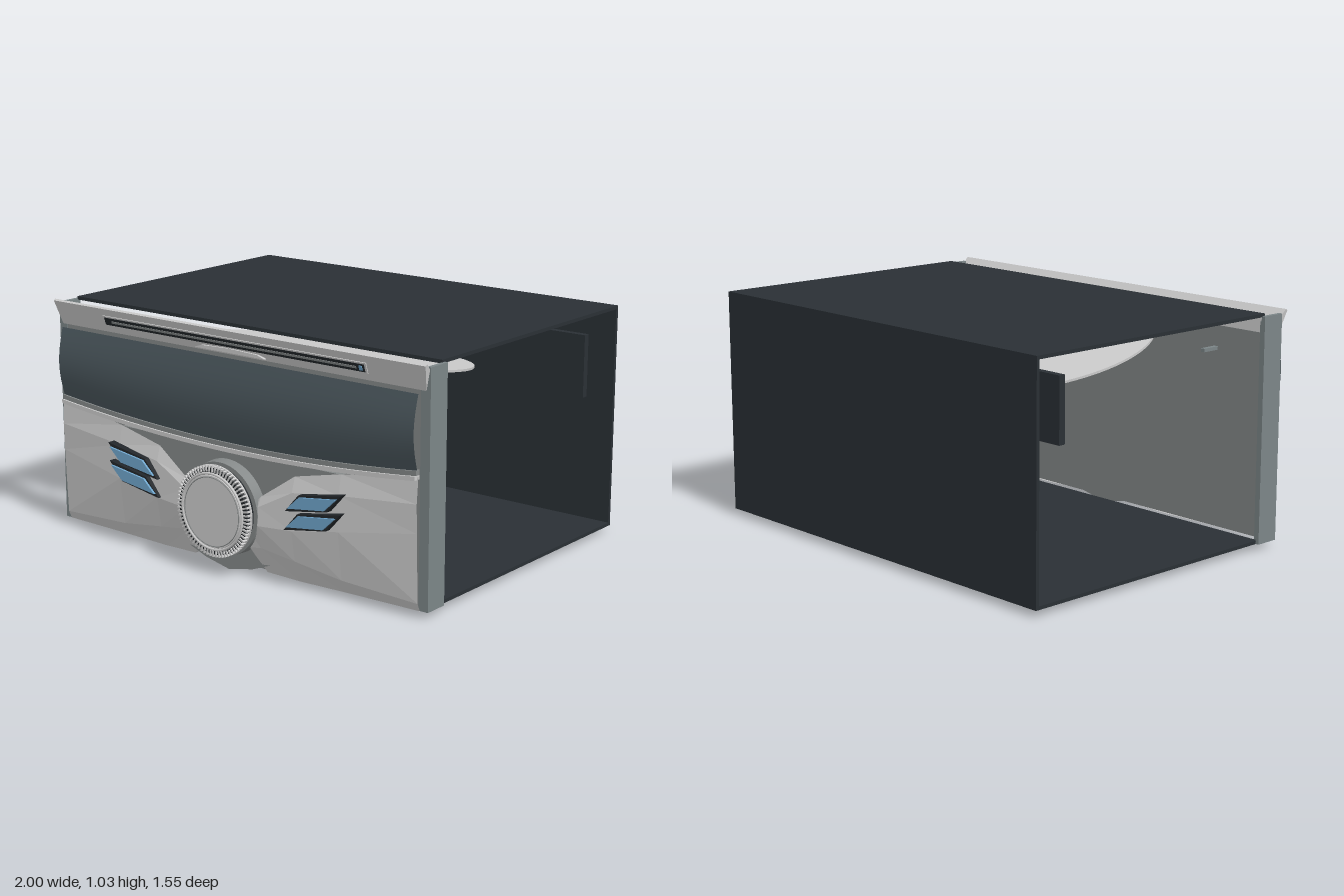
import * as THREE from 'three';

const mat = (color, flat = false) => new THREE.MeshStandardMaterial({ color, flatShading: flat, side: THREE.DoubleSide });
const light = mat(0xcccccc), facet = mat(0xcccccc, true), mid = mat(0x858989), side = mat(0x7c8688);
const dark = mat(0x2a3035), black = mat(0x22262a), glass = mat(0x4a565c), blue = mat(0x6fa5cc);

export function createModel() {
  const root = new THREE.Group();

  const add = (name, geo, material, parent = root) => {
    const m = new THREE.Mesh(geo, material);
    m.name = name;
    parent.add(m);
    return m;
  };
  // box given by its min and max corners
  const box = (name, x0, x1, y0, y1, z0, z1, material, parent = root) => {
    const m = add(name, new THREE.BoxGeometry(x1 - x0, y1 - y0, z1 - z0), material, parent);
    m.position.set((x0 + x1) / 2, (y0 + y1) / 2, (z0 + z1) / 2);
    return m;
  };
  // outline in x,y extruded from z0 to z1
  const plate = (name, pts, z0, z1, material, parent = root) => {
    const s = new THREE.Shape(pts.map(p => new THREE.Vector2(p[0], p[1])));
    const m = add(name, new THREE.ExtrudeGeometry(s, { depth: z1 - z0, bevelEnabled: false }), material, parent);
    m.position.z = z0;
    return m;
  };
  // cylinder along z
  const drum = (name, r0, r1, z0, z1, material, parent) => {
    const g = new THREE.CylinderGeometry(r1, r0, z1 - z0, 64).rotateX(Math.PI / 2);
    const m = add(name, g, material, parent);
    m.position.z = (z0 + z1) / 2;
    return m;
  };
  const arc = x => 0.55 + 0.055 * (x / 0.96) ** 2;   // lower edge of the screen

  // Casing, open at both sides
  box('casingBottom', -0.985, 0.985, 0.035, 0.05, -0.77, 0.53, dark);
  box('casingTop', -0.985, 0.985, 1.015, 1.03, -0.77, 0.535, dark);
  box('casingBack', -0.985, 0.985, 0.035, 1.03, -0.775, -0.76, dark);
  box('innerRearPlate', -0.94, 0.94, 0.65, 0.925, -0.612, -0.582, dark);

  // Tilted disc sliding into the slot
  const disc = add('disc', new THREE.CylinderGeometry(0.64, 0.64, 0.01, 96), light);
  disc.position.set(0, 0.832, 0);
  disc.rotation.x = -0.173;

  // Side frame, inner rails and rear tabs
  for (const s of [-1, 1]) {
    const g = new THREE.Group();
    g.name = s > 0 ? 'leftFrame' : 'rightFrame';
    root.add(g);
    const span = (name, a, b, ...rest) => box(name, Math.min(s * a, s * b), Math.max(s * a, s * b), ...rest, side, g);
    span('sideBar', 0.982, 1, 0.035, 1.02, 0.52, 0.63);
    span('innerRail', 0.95, 0.984, 0.035, 0.99, 0.55, 0.59);
    span('frontRail', 0.955, 0.984, 0.035, 0.93, 0.6, 0.63);
    span('rearTab', 0.73, 0.75, 0.845, 0.86, 0.43, 0.515);
  }

  // Plate behind the face, with a pointed chin
  plate('backingPlate', [[-0.96, 0.035], [-0.13, 0.035], [0, 0.007], [0.13, 0.035], [0.96, 0.035], [0.96, 0.93], [-0.96, 0.93]], 0.602, 0.628, mid);

  // Top trim, slanted forward, with bevelled ends
  const prof = [[0.665, 1.03], [0.655, 1.036], [0.61, 0.99], [0.605, 0.93], [0.63, 0.925]];
  const trimGeo = new THREE.ExtrudeGeometry(new THREE.Shape(prof.map(p => new THREE.Vector2(-p[0], p[1]))), { depth: 2, bevelEnabled: false });
  trimGeo.translate(0, 0, -1).rotateY(Math.PI / 2);
  const tp = trimGeo.attributes.position;
  for (let i = 0; i < tp.count; i++) tp.setX(i, tp.getX(i) * (1 - 0.18 * (1.036 - tp.getY(i))));
  trimGeo.computeVertexNormals();
  add('topTrim', trimGeo, facet);

  // Disc slot on the trim
  const slot = new THREE.Group();
  slot.name = 'discSlot';
  slot.position.set(0, 0.977, 0.647);
  slot.rotation.x = 0.33;
  root.add(slot);
  box('slotFrame', -0.71, 0.71, -0.024, 0.024, -0.01, 0.004, light, slot);
  box('slotOpening', -0.7, 0.7, -0.017, 0.017, -0.01, 0.006, black, slot);
  box('slotGroove', -0.66, 0.66, -0.005, 0.005, -0.01, 0.008, mid, slot);
  box('slotLamp', 0.675, 0.69, -0.01, 0.01, -0.01, 0.009, blue, slot);
  plate('trimLip', [[-0.19, 0.935], [0.19, 0.935], [0.15, 0.948], [0, 0.953], [-0.15, 0.948]], 0.63, 0.648, light);

  // Bulging screen with curved lower edge
  const scr = new THREE.PlaneGeometry(1, 1, 32, 12);
  const sp = scr.attributes.position;
  for (let i = 0; i < sp.count; i++) {
    const x = sp.getX(i) * 1.92, v = sp.getY(i) + 0.5;
    sp.setXYZ(i, x, arc(x) + v * (0.915 - arc(x)), 0.655 + 0.028 * Math.sin(Math.PI * v));
  }
  scr.computeVertexNormals();
  add('screen', scr, glass);

  // Curved strips below the screen
  const band = (name, top, bottom, z0, z1, material) => {
    const xs = Array.from({ length: 25 }, (_, i) => -0.96 + i * 0.08);
    plate(name, [...xs.map(x => [x, arc(x) - bottom]), ...xs.reverse().map(x => [x, arc(x) - top])], z0, z1, material);
  };
  band('screenLedge', -0.008, 0.012, 0.64, 0.665, mid);
  band('screenRidge', 0.012, 0.03, 0.64, 0.673, light);

  // Dark centre piece behind the knob
  plate('centrePlate', [[0, 0.007], [0.13, 0.035], [0.3, 0.1], [0.3, 0.42], [0.6, 0.53], [0.3, 0.528], [0, 0.525],
    [-0.3, 0.528], [-0.6, 0.53], [-0.3, 0.42], [-0.3, 0.1], [-0.13, 0.035]], 0.605, 0.662, mid);

  // Faceted wings: cross-sections of [y, z] from ridge to bottom edge
  const stations = [
    [0.965, [[0.588, 0.655], [0.48, 0.664], [0.36, 0.661], [0.07, 0.65], [0.036, 0.635], [0.036, 0.605]]],
    [0.6, [[0.535, 0.669], [0.45, 0.686], [0.3, 0.69], [0.09, 0.665], [0.033, 0.64], [0.033, 0.605]]],
    [0.37, [[0.485, 0.677], [0.42, 0.697], [0.26, 0.702], [0.125, 0.68], [0.03, 0.645], [0.03, 0.605]]],
    [0.2, [[0.37, 0.69], [0.33, 0.707], [0.25, 0.712], [0.15, 0.69], [0.035, 0.65], [0.035, 0.605]]],
    [0.14, [[0.31, 0.69], [0.29, 0.705], [0.22, 0.705], [0.14, 0.69], [0.1, 0.66], [0.1, 0.605]]],
  ];
  const wing = s => {
    const pos = [], idx = [], n = stations[0][1].length;
    for (const [x, row] of stations) for (const [y, z] of row) pos.push(s * x, y, z);
    for (let i = 0; i < stations.length - 1; i++) for (let j = 0; j < n - 1; j++) {
      const a = i * n + j, b = a + 1, c = a + n, d = c + 1;
      idx.push(...(s > 0 ? [a, c, b, b, c, d] : [a, b, c, b, d, c]));
    }
    const g = new THREE.BufferGeometry();
    g.setAttribute('position', new THREE.Float32BufferAttribute(pos, 3));
    g.setIndex(idx);
    g.computeVertexNormals();
    return g;
  };

  // Slanted buttons, two on each wing
  const keyShape = [[0.345, 0.266], [0.56, 0.302], [0.63, 0.382], [0.415, 0.345]];
  const inset = keyShape.map(([x, y]) => [0.4875 + (x - 0.4875) * 0.88, 0.324 + (y - 0.324) * 0.72]);
  for (const s of [-1, 1]) {
    const name = s > 0 ? 'left' : 'right';
    add(name + 'Wing', wing(s), facet);
    for (const [dx, dy] of [[0, 0], [0.006, 0.08]]) {
      const move = pts => pts.map(([x, y]) => [s * (x + dx), y + dy]);
      plate(name + 'ButtonFrame', move(keyShape), 0.675, 0.719, black);
      plate(name + 'Button', move(inset), 0.69, 0.729, blue);
    }
  }

  // Rotary knob with a toothed grip
  const knob = new THREE.Group();
  knob.name = 'knob';
  knob.position.set(0, 0.285, 0);
  root.add(knob);
  drum('knobBase', 0.205, 0.2, 0.65, 0.712, mid, knob);
  drum('knobNeck', 0.18, 0.18, 0.71, 0.738, black, knob);
  drum('knobBody', 0.19, 0.186, 0.737, 0.76, black, knob);
  drum('knobRim', 0.196, 0.196, 0.737, 0.744, light, knob);
  const teeth = 72;
  for (let i = 0; i < teeth; i++) {
    const a = i / teeth * Math.PI * 2;
    const t = add('knobTooth', new THREE.BoxGeometry(0.026, 0.007, 0.026), light, knob);
    t.position.set(Math.cos(a) * 0.183, Math.sin(a) * 0.183, 0.752);
    t.rotation.z = a;
  }
  drum('knobCap', 0.165, 0.155, 0.75, 0.769, light, knob);
  const ring = add('knobRing', new THREE.TorusGeometry(0.163, 0.006, 8, 64), light, knob);
  ring.position.z = 0.765;
  const groove = add('knobGroove', new THREE.TorusGeometry(0.148, 0.002, 6, 64), mid, knob);
  groove.position.z = 0.769;

  return root;
}
